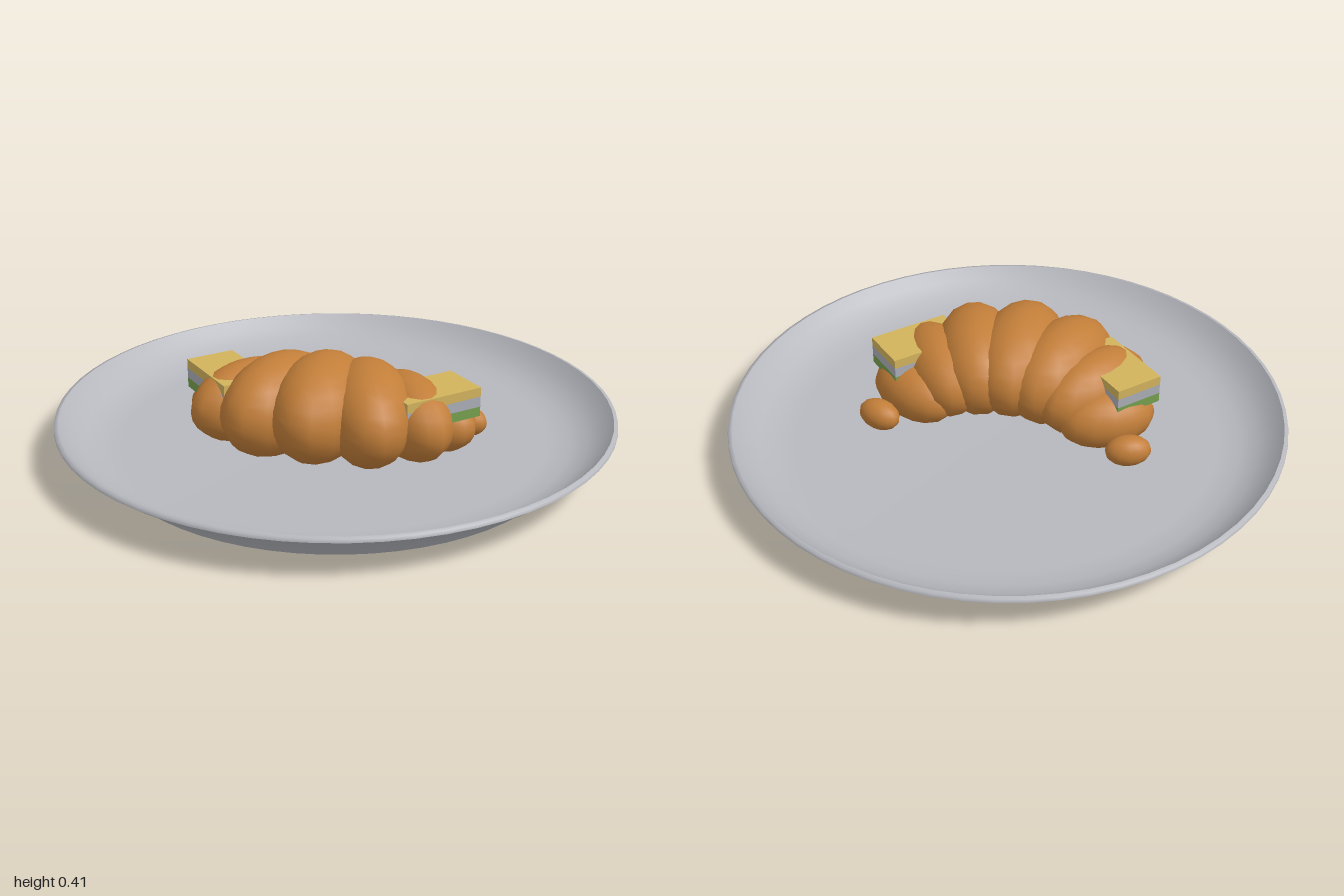
import * as THREE from 'three';

const material = (name, color) => {
  const m = new THREE.MeshStandardMaterial({ color });
  m.name = name;
  return m;
};

export function createModel() {
  const group = new THREE.Group();
  group.name = 'croissantPlate';
  const plateGrey = material('plateGrey', 0xb6b8be);
  const pastry = material('bakedPastry', 0xc27e39);
  const cheese = material('cheese', 0xd2b35c);
  const ham = material('greyFilling', 0xaaaeb6);
  const lettuce = material('lettuce', 0x76a04f);

  const add = (name, geometry, mat, parent = group) => {
    const mesh = new THREE.Mesh(geometry, mat);
    mesh.name = name;
    parent.add(mesh);
    return mesh;
  };

  // Plate: separate lathes keep the foot and lip edges crisp
  const lathe = (name, points) =>
    add(name, new THREE.LatheGeometry(points.map(([r, y]) => new THREE.Vector2(r, y)), 64), plateGrey);
  lathe('plateBase', [[0, 0], [0.82, 0]]);
  lathe('plateOutside', [[0.82, 0], [0.9, 0.08], [0.96, 0.11], [1, 0.14]]);
  lathe('plateLip', [[1, 0.14], [0.998, 0.152], [0.985, 0.155]]);
  lathe('plateInside', [[0.985, 0.155], [0.95, 0.115], [0.9, 0.08], [0.84, 0.058], [0.76, 0.05], [0, 0.045]]);

  // Croissant: overlapping ellipsoids fanned along an arc
  // centre x, y, z; half width, height, length; fan angle in degrees
  const lobes = [
    ['middleLobe', 0, 0.228, 0.195, 0.17, 0.182, 0.283, 0],
    ['innerLobe', 0.16, 0.215, 0.175, 0.16, 0.177, 0.27, 18],
    ['outerLobe', 0.29, 0.19, 0.11, 0.13, 0.147, 0.24, 35],
    ['endLobe', 0.355, 0.145, 0.02, 0.115, 0.11, 0.18, 60],
    ['tip', 0.457, 0.1, -0.1, 0.055, 0.056, 0.082, 70],
  ];
  const sphere = new THREE.SphereGeometry(1, 14, 14);
  const layers = [
    ['lettuceLayer', lettuce, 0.2, 0.235],
    ['greyLayer', ham, 0.235, 0.272],
    ['cheeseLayer', cheese, 0.272, 0.306],
  ];

  for (const side of [1, -1]) {
    for (const [name, x, y, z, rx, ry, rz, angle] of lobes) {
      if (x === 0 && side < 0) continue;
      const lobe = add(name, sphere, pastry);
      lobe.position.set(side * x, y, z);
      lobe.scale.set(rx, ry, rz);
      lobe.rotation.y = side * THREE.MathUtils.degToRad(angle);
    }

    // Filling: stacked slabs set across the croissant arm
    const filling = new THREE.Group();
    filling.name = side > 0 ? 'leftFilling' : 'rightFilling';
    filling.position.set(side * 0.363, 0, 0.122);
    filling.rotation.y = -side * Math.PI / 4;
    group.add(filling);
    for (const [name, mat, bottom, top] of layers) {
      const slab = add(name, new THREE.BoxGeometry(0.18, top - bottom, 0.3), mat, filling);
      slab.position.y = (bottom + top) / 2;
    }
  }
  return group;
}
